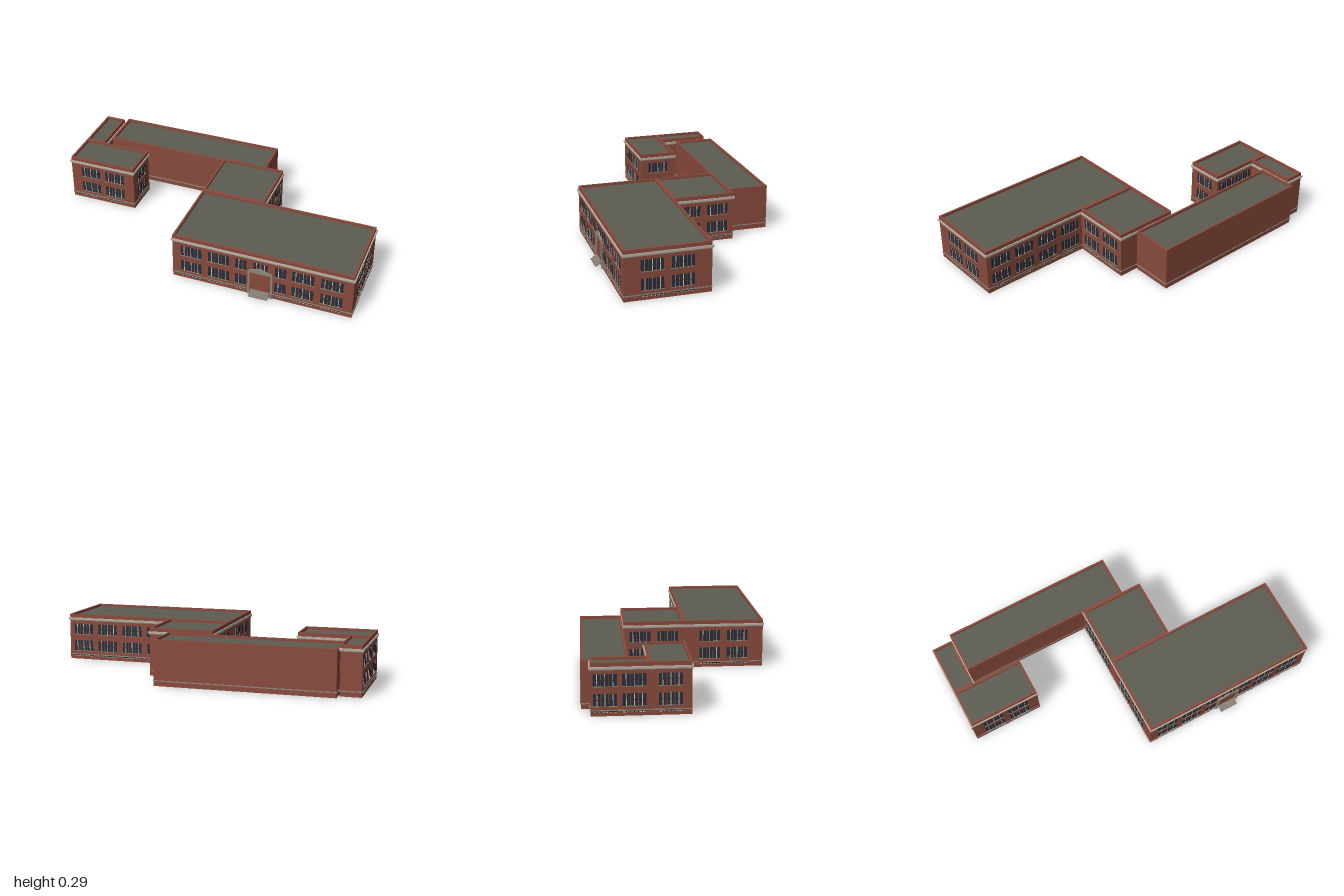
import * as THREE from 'three';

const flat = (name, color) => {
  const m = new THREE.MeshStandardMaterial({ color });
  m.name = name;
  return m;
};

export function createModel() {
  const model = new THREE.Group();
  model.name = 'schoolBuilding';
  const brick = flat('brick', 0x8a4a3c);
  const roofing = flat('roofing', 0x5c5c52);
  const stone = flat('stone', 0x8f877c);
  const trim = flat('paleTrim', 0xb9b0a2);
  const glass = flat('darkGlass', 0x2a2e38);
  const cream = flat('creamFrame', 0xd6cab2);

  const add = (parent, name, geometry, material, x = 0, y = 0, z = 0) => {
    const mesh = new THREE.Mesh(geometry, material);
    mesh.name = name;
    mesh.position.set(x, y, z);
    parent.add(mesh);
    return mesh;
  };
  const box = (parent, name, material, w, h, d, x, y, z) =>
    add(parent, name, new THREE.BoxGeometry(w, h, d), material, x, y, z);

  // Rectangular ring standing from y0 to y1, grown outwards and inwards
  const ring = (parent, name, material, [x0, x1, z0, z1], out, inn, y0, y1) => {
    const rect = (P, g) => {
      const p = new P();
      p.moveTo(x0 - g, -z1 - g);
      p.lineTo(x1 + g, -z1 - g);
      p.lineTo(x1 + g, -z0 + g);
      p.lineTo(x0 - g, -z0 + g);
      p.closePath();
      return p;
    };
    const shape = rect(THREE.Shape, out);
    shape.holes.push(rect(THREE.Path, -inn));
    const g = new THREE.ExtrudeGeometry(shape, { depth: y1 - y0, bevelEnabled: false });
    g.rotateX(-Math.PI / 2);
    add(parent, name, g, material, 0, y0, 0);
  };

  // Open-bottomed wings: walls with parapet, sunken roof, belt course and cornice
  const wing = (name, rect, height, cornice) => {
    const g = new THREE.Group();
    g.name = name;
    model.add(g);
    const [x0, x1, z0, z1] = rect;
    ring(g, 'walls', brick, rect, 0, 0.012, 0, height);
    box(g, 'roof', roofing, x1 - x0 - 0.022, 0.006, z1 - z0 - 0.022,
      (x0 + x1) / 2, height - 0.018, (z0 + z1) / 2);
    ring(g, 'beltCourse', stone, rect, 0.003, 0.002, 0.028, 0.034);
    if (cornice) {
      ring(g, 'corniceLower', stone, rect, 0.004, 0.002, 0.25, 0.256);
      ring(g, 'cornice', trim, rect, 0.007, 0.002, 0.256, 0.268);
    }
  };
  wing('mainWing', [-0.08, 0.993, 0.05, 0.535], 0.29, true);
  wing('linkWing', [-0.08, 0.31, -0.315, 0.05], 0.29, true);
  wing('rearHall', [-0.862, 0.192, -0.575, -0.32], 0.27, false);
  wing('westLink', [-0.993, -0.87, -0.525, -0.218], 0.29, true);
  wing('westWing', [-0.993, -0.565, -0.218, 0.01], 0.29, true);

  // One window group facing local +z, with mullions, transom and sill
  const panes = (parent, w, y0, y1, count) => {
    const h = y1 - y0, y = (y0 + y1) / 2;
    box(parent, 'glass', glass, w, h, 0.004, 0, y, 0);
    for (let i = 1; i < count; i++) {
      box(parent, 'mullion', i % 2 ? cream : brick, 0.004, h, 0.006, (i / count - 0.5) * w, y, 0);
    }
    box(parent, 'transom', glass, w, 0.003, 0.007, 0, y, 0);
    box(parent, 'sill', stone, w + 0.004, 0.003, 0.01, 0, y0 - 0.0015, 0);
  };

  // Two storeys plus a low basement strip at one place on a wall
  const windowBay = (x, z, angle, w = 0.126) => {
    const g = new THREE.Group();
    g.name = 'windowBay';
    g.position.set(x, 0, z);
    g.rotation.y = angle;
    model.add(g);
    const count = w > 0.1 ? 6 : 3;
    panes(g, w, 0.055, 0.122, count);
    panes(g, w, 0.163, 0.229, count);
    box(g, 'basementGlass', glass, w, 0.008, 0.004, 0, 0.024, 0);
    for (let i = 0; i < count; i++) {
      box(g, 'basementSill', cream, w / count - 0.006, 0.003, 0.006,
        ((i + 0.5) / count - 0.5) * w, 0.0215, 0);
    }
  };
  const HALF = Math.PI / 2;

  // Front faces
  for (const x of [0.035, 0.203, 0.705, 0.872]) windowBay(x, 0.535, 0);
  for (const x of [0.338, 0.573]) windowBay(x, 0.535, 0, 0.066);
  for (const x of [-0.862, -0.697]) windowBay(x, 0.01, 0);

  // Side faces
  for (const z of [0.378, 0.21]) {
    windowBay(0.993, z, HALF);
    windowBay(-0.08, z, -HALF);
  }
  for (const z of [-0.046, -0.215]) {
    windowBay(0.31, z, HALF);
    windowBay(-0.08, z, -HALF);
  }
  windowBay(-0.565, -0.104, HALF);
  for (const z of [-0.104, -0.295, -0.448]) windowBay(-0.993, z, -HALF);

  // Back faces
  for (const x of [0.402, 0.568, 0.735, 0.9]) windowBay(x, 0.05, Math.PI);
  for (const x of [-0.79, -0.645]) windowBay(x, -0.218, Math.PI);

  // Entrance: stone surround with a gabled head, door, small windows and steps
  const entrance = new THREE.Group();
  entrance.name = 'entrance';
  entrance.position.set(0.455, 0, 0.535);
  model.add(entrance);
  for (const s of [-1, 1]) {
    box(entrance, 'pilaster', stone, 0.012, 0.165, 0.012, s * 0.068, 0.0825, 0.002);
    box(entrance, 'innerPanel', stone, 0.032, 0.1, 0.004, s * 0.036, 0.085, -0.014);
    const small = new THREE.Group();
    small.name = 'upperWindow';
    small.position.x = s * 0.024;
    entrance.add(small);
    panes(small, 0.036, 0.183, 0.229, 2);
  }
  const gable = new THREE.Shape();
  gable.moveTo(-0.075, 0.16);
  gable.lineTo(0.075, 0.16);
  gable.lineTo(0.07, 0.172);
  gable.lineTo(0, 0.197);
  gable.lineTo(-0.07, 0.172);
  gable.closePath();
  add(entrance, 'gable', new THREE.ExtrudeGeometry(gable, { depth: 0.012, bevelEnabled: false }),
    stone, 0, 0, -0.003);
  box(entrance, 'door', brick, 0.1, 0.12, 0.006, 0, 0.095, 0);
  box(entrance, 'innerDoor', glass, 0.038, 0.07, 0.004, 0, 0.07, -0.015);
  for (let i = 0; i < 5; i++) {
    box(entrance, 'step', stone, 0.112, 0.008, 0.011, 0, 0.032 - i * 0.005, 0.0055 + i * 0.0073);
  }
  return model;
}
